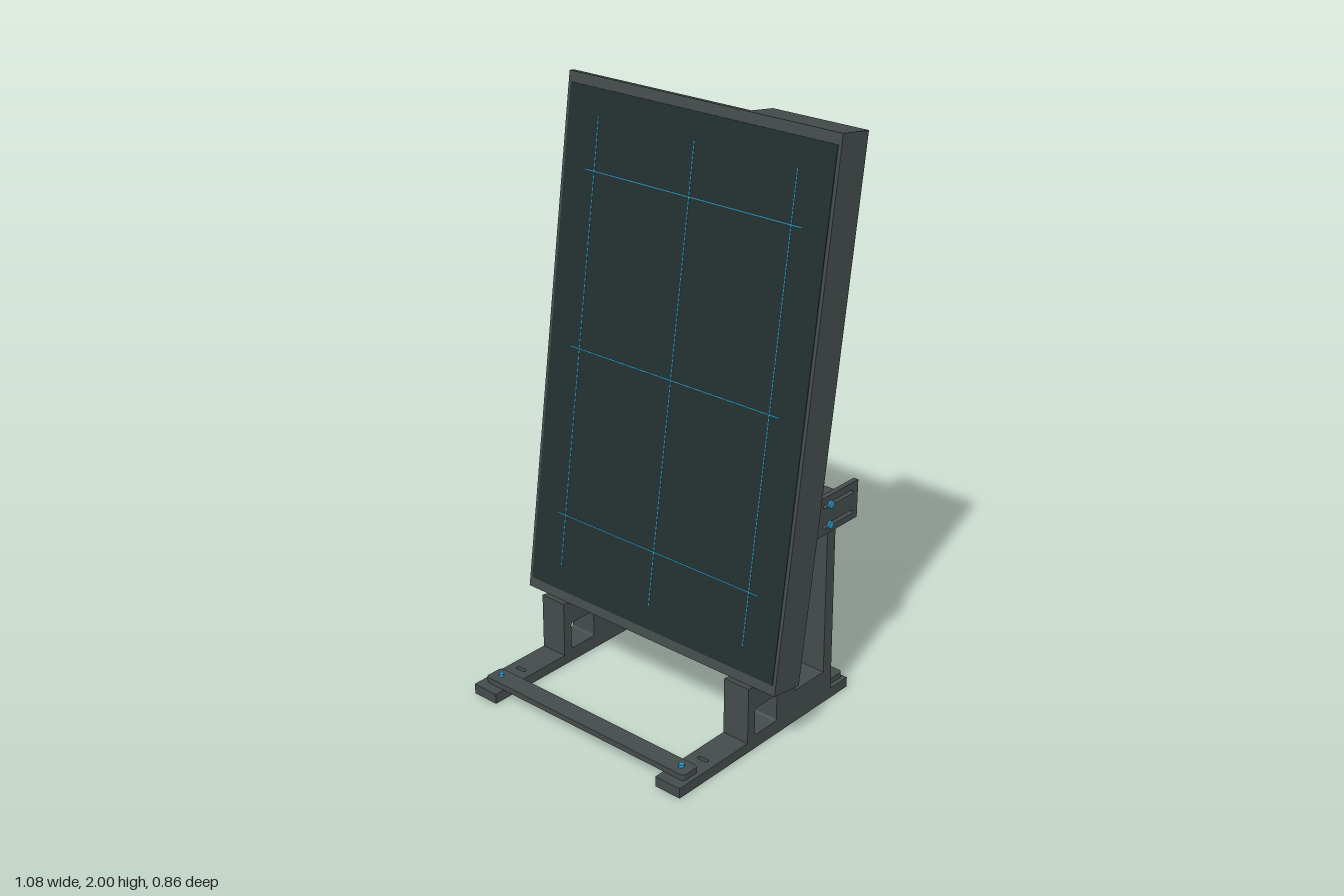
import * as THREE from 'three';

const mat = (name, color, side = THREE.FrontSide) => {
  const m = new THREE.MeshStandardMaterial({ color, side });
  m.name = name;
  return m;
};

// Rounded rectangle outline centred on (cx, cy)
function roundedRect(target, cx, cy, w, h, r) {
  const x = cx - w / 2, y = cy - h / 2;
  target.moveTo(x + r, y);
  target.lineTo(x + w - r, y);
  target.absarc(x + w - r, y + r, r, -Math.PI / 2, 0);
  target.lineTo(x + w, y + h - r);
  target.absarc(x + w - r, y + h - r, r, 0, Math.PI / 2);
  target.lineTo(x + r, y + h);
  target.absarc(x + r, y + h - r, r, Math.PI / 2, Math.PI);
  target.lineTo(x, y + r);
  target.absarc(x + r, y + r, r, Math.PI, Math.PI * 1.5);
  return target;
}
const hole = (...a) => roundedRect(new THREE.Path(), ...a);
const polygon = (target, pts) => target.setFromPoints(pts.map(p => new THREE.Vector2(...p)));
const extrude = (shape, depth) =>
  new THREE.ExtrudeGeometry(shape, { depth, bevelEnabled: false, curveSegments: 6 });

// Shape drawn in (z, y), thickness centred on x = 0
const sidePlate = (shape, w) => extrude(shape, w).translate(0, 0, -w / 2).rotateY(-Math.PI / 2);
// Shape drawn in (x, -z), thickness rising from y = 0
const flatPlate = (shape, h) => extrude(shape, h).rotateX(-Math.PI / 2);

export function createModel() {
  const model = new THREE.Group();
  model.name = 'displayOnStand';
  const metal = mat('dark grey metal', 0x454b4b);
  const glass = mat('dark screen', 0x223030);
  const blue = mat('blue accent', 0x2a9ac8);

  const add = (parent, name, geometry, material, x = 0, y = 0, z = 0) => {
    const mesh = new THREE.Mesh(geometry, material);
    mesh.name = name;
    mesh.position.set(x, y, z);
    parent.add(mesh);
    return mesh;
  };
  const box = (parent, name, material, w, h, d, x, y, z) =>
    add(parent, name, new THREE.BoxGeometry(w, h, d), material, x, y, z);

  // Leaning display panel; its origin is the lower front edge
  const TILT = THREE.MathUtils.degToRad(8), LENGTH = 1.782, THICK = 0.023;
  const panel = new THREE.Group();
  panel.name = 'displayPanel';
  panel.position.set(0, 0.235, 0.077);
  panel.rotation.x = -TILT;
  model.add(panel);
  box(panel, 'panelFrame', metal, 1.08, LENGTH, THICK, 0, LENGTH / 2, -THICK / 2);
  box(panel, 'screen', glass, 1.056, 1.712, 0.003, 0, 0.891, 0.001);
  box(panel, 'rearHousing', metal, 0.355, LENGTH, 0.103, 0.3625, LENGTH / 2, -THICK - 0.0515);

  // Fine grid lines on the screen
  for (const y of [0.308, 0.894, 1.484])
    box(panel, 'horizontalLine', blue, 0.87, 0.003, 0.002, 0, y, 0.003);
  for (const x of [-0.397, 0, 0.397])
    box(panel, 'verticalLine', blue, 0.003, 1.54, 0.002, x, 0.89, 0.003);

  // Foot bar with one slot near the front
  const FOOT = 0.036;
  const footShape = roundedRect(new THREE.Shape(), 0, 0, 0.1, 0.86, 0.001);
  footShape.holes.push(hole(0, -0.26, 0.04, 0.016, 0.0079));
  const footGeometry = flatPlate(footShape, FOOT);

  // Upright: seat block, window, sloping leg and rear post in one profile
  const uprightShape = polygon(new THREE.Shape(), [
    [0.1, FOOT], [0.1, 0.238], [-0.095, 0.211], [-0.217, 0.78], [-0.327, 0.78], [-0.338, FOOT]]);
  uprightShape.holes.push(hole(0.009, 0.1, 0.112, 0.1, 0.01));
  uprightShape.holes.push(polygon(new THREE.Path(), [
    [-0.14, 0.12], [-0.294, 0.12], [-0.287, 0.65], [-0.234, 0.65]]));
  const uprightGeometry = sidePlate(uprightShape, 0.1);

  // Slotted bracket plate, drawn at the depth of the rear housing
  const bracketShape = polygon(new THREE.Shape(), [
    [-0.108, 0.656], [-0.127, 0.79], [-0.418, 0.79], [-0.418, 0.656]]);
  for (const y of [0.685, 0.757])
    bracketShape.holes.push(hole(-0.313, y, 0.155, 0.013, 0.0064));
  const bracketGeometry = sidePlate(bracketShape, 0.018);
  const flangeShape = polygon(new THREE.Shape(), [
    [-0.108, 0.656], [-0.127, 0.79], [-0.143, 0.79], [-0.124, 0.656]]);
  const flangeGeometry = sidePlate(flangeShape, 0.085);

  const boltGeometry = new THREE.CylinderGeometry(0.009, 0.009, 0.014, 12);
  const sideBoltGeometry = new THREE.CylinderGeometry(0.013, 0.013, 0.008, 12).rotateZ(Math.PI / 2);

  for (const side of [-1, 1]) {
    const stand = new THREE.Group();
    stand.name = side > 0 ? 'leftStand' : 'rightStand';
    model.add(stand);
    add(stand, 'foot', footGeometry, metal, side * 0.405);
    add(stand, 'upright', uprightGeometry, metal, side * 0.405);

    // Both brackets sit on the +x face of their upright
    const bracketX = side * 0.405 + 0.059;
    const reach = side > 0 ? 0 : 0.1;
    add(stand, 'bracket', bracketGeometry, metal, bracketX, 0, reach);
    add(stand, 'bracketFlange', flangeGeometry, metal, bracketX - 0.0515, 0, reach);
    for (const y of [0.685, 0.757])
      add(stand, 'bracketBolt', sideBoltGeometry, blue, bracketX + 0.012, y, -0.272);

    for (const z of [0.358, -0.39])
      add(stand, 'footBolt', boltGeometry, blue, side * 0.4, 0.06, z);
  }

  // Crossbars joining the feet; the rear one is slotted
  for (const [name, z, slotted] of [['frontCrossbar', 0.358, false], ['rearCrossbar', -0.39, true]]) {
    const shape = roundedRect(new THREE.Shape(), 0, 0, 0.876, 0.07, 0.012);
    if (slotted)
      for (const x of [-0.198, 0.198]) shape.holes.push(hole(x, 0, 0.055, 0.013, 0.0064));
    add(model, name, flatPlate(shape, 0.02), metal, 0, FOOT, z);
  }
  return model;
}
